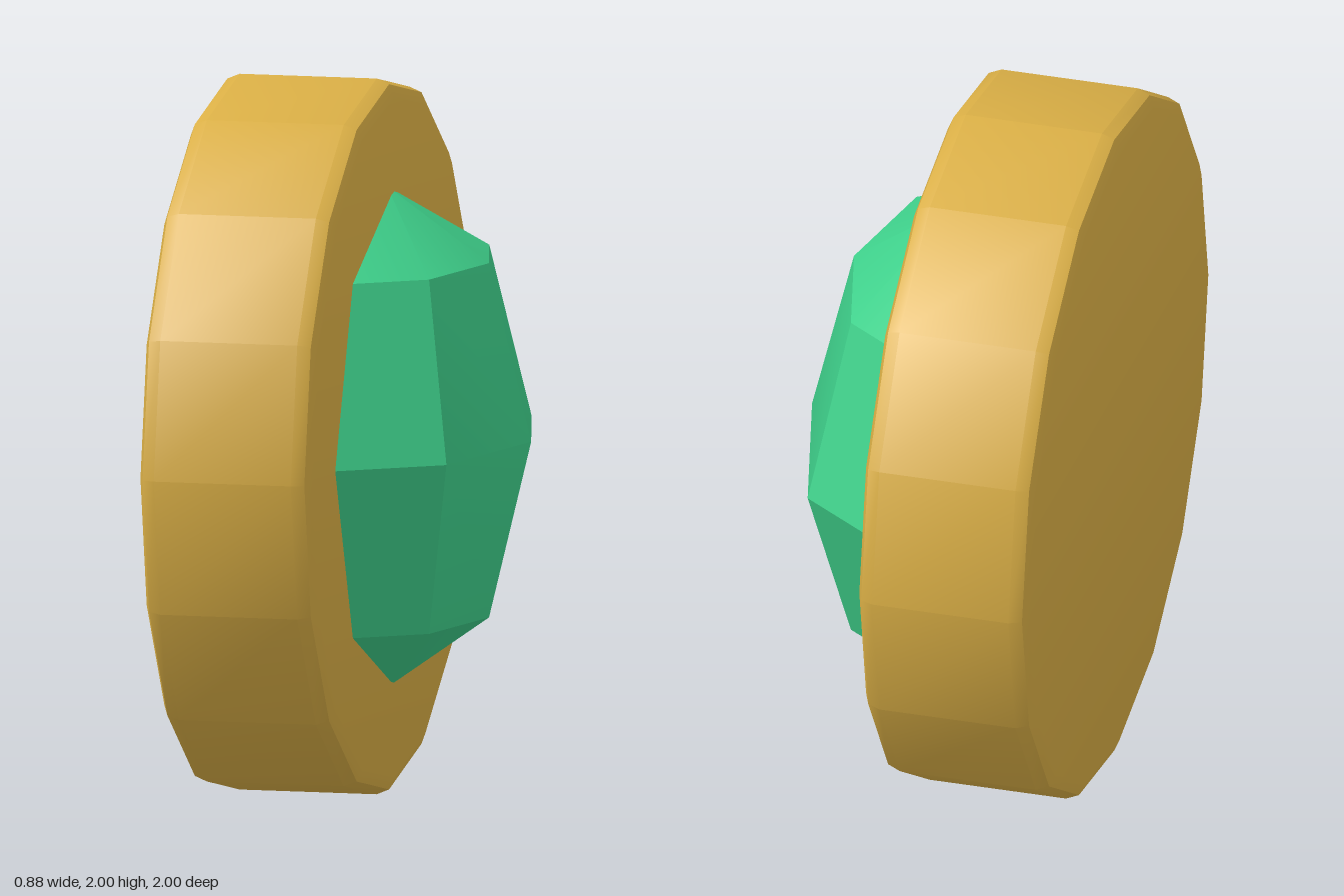
import * as THREE from 'three';
import { toCreasedNormals } from 'three/addons/utils/BufferGeometryUtils.js';

const CREASE = Math.PI / 6;

export function createModel() {
  const model = new THREE.Group();
  model.name = 'gemMedallion';

  const gold = new THREE.MeshStandardMaterial({ name: 'gold', color: 0xd9ae45 });
  const green = new THREE.MeshStandardMaterial({ name: 'emeraldGreen', color: 0x3ecf8a });

  // Sixteen-sided disc with a two-step rounded rim, turned to face +x
  const back = -0.44, front = 0.05, bevel = 0.05;
  const profile = [new THREE.Vector2(0, back)];
  for (const [edge, dir] of [[back, 1], [front, -1]]) {
    const arc = [0, 1, 2].map((i) => {
      const a = (i * Math.PI) / 4;
      return new THREE.Vector2(
        1 - bevel + bevel * Math.sin(a),
        edge + dir * bevel * (1 - Math.cos(a))
      );
    });
    profile.push(...(dir > 0 ? arc : arc.reverse()));
  }
  profile.push(new THREE.Vector2(0, front));
  const discGeometry = new THREE.LatheGeometry(profile, 16).rotateZ(-Math.PI / 2);
  const disc = new THREE.Mesh(toCreasedNormals(discGeometry, CREASE), gold);
  disc.name = 'disc';
  disc.position.y = 1;

  // Faceted gem: a coarse flattened ball set into the disc
  const gemGeometry = new THREE.SphereGeometry(1, 8, 4).scale(0.41, 0.7, 0.7);
  const gem = new THREE.Mesh(toCreasedNormals(gemGeometry, CREASE), green);
  gem.name = 'gem';
  gem.position.set(0.03, 1, 0);

  model.add(disc, gem);
  return model;
}
